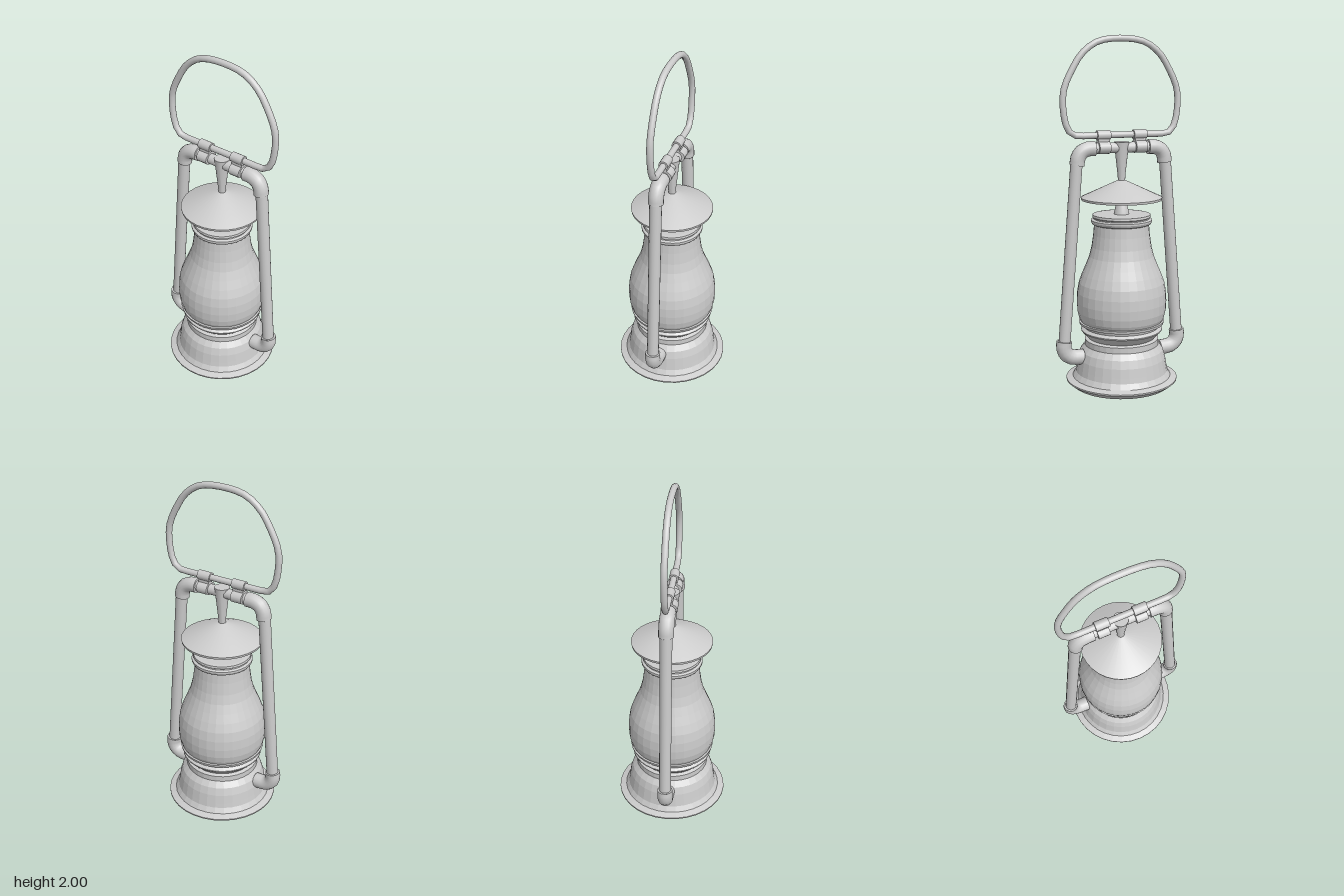
import * as THREE from 'three';
import { toCreasedNormals } from 'three/addons/utils/BufferGeometryUtils.js';

const SIDES = 32;
const smooth = new THREE.MeshStandardMaterial({ color: 0xcccccc, side: THREE.DoubleSide });
const faceted = new THREE.MeshStandardMaterial({ color: 0xcccccc, flatShading: true, side: THREE.DoubleSide });

export function createModel() {
  const model = new THREE.Group();
  model.name = 'lantern';

  const add = (name, geometry, material = smooth, parent = model) => {
    const mesh = new THREE.Mesh(geometry, material);
    mesh.name = name;
    parent.add(mesh);
    return mesh;
  };

  // Turned part from [radius, height] pairs, bottom to top
  const turned = (name, profile, material = faceted, sides = SIDES) =>
    add(name, new THREE.LatheGeometry(profile.map(([r, y]) => new THREE.Vector2(r, y)), sides), material);

  // Round bar along [x, y] points, with capped ends unless closed
  const bar = (name, points, radius, segments, closed = false, parent = model) => {
    const group = new THREE.Group();
    group.name = name;
    parent.add(group);
    const path = new THREE.CatmullRomCurve3(points.map(([x, y]) => new THREE.Vector3(x, y, 0)), closed);
    add(name + 'Tube', new THREE.TubeGeometry(path, segments, radius, 16, closed), smooth, group);
    if (!closed) {
      for (const t of [0, 1]) {
        const cap = add(name + 'End', new THREE.CircleGeometry(radius, 16), smooth, group);
        const outward = path.getTangentAt(t).multiplyScalar(t ? 1 : -1);
        cap.position.copy(path.getPointAt(t));
        cap.quaternion.setFromUnitVectors(new THREE.Vector3(0, 0, 1), outward);
      }
    }
    return group;
  };

  // Fuel tank with rolled foot
  turned('fuelTank', [
    [0, 0], [0.285, 0], [0.3, 0.012], [0.323, 0.03], [0.323, 0.038], [0.31, 0.042],
    [0.285, 0.05], [0.267, 0.08], [0.262, 0.11], [0.254, 0.16], [0.24, 0.205], [0.214, 0.238],
  ]);

  // Burner collar with pinched waist
  turned('burnerCollar', [
    [0.214, 0.238], [0.214, 0.272], [0.195, 0.28], [0.205, 0.29], [0.235, 0.322],
    [0.235, 0.328], [0.217, 0.342], [0.222, 0.36], [0.244, 0.362], [0.248, 0.378], [0.23, 0.382],
  ]);

  // Bulbous glass
  const glass = new THREE.SplineCurve([
    [0.235, 0.375], [0.253, 0.42], [0.259, 0.5], [0.25, 0.59], [0.222, 0.67],
    [0.188, 0.75], [0.167, 0.84], [0.156, 0.95],
  ].map(([r, y]) => new THREE.Vector2(r, y)));
  add('glass', new THREE.LatheGeometry(glass.getPoints(11), SIDES), faceted);

  // Chimney rim closing the glass
  turned('chimneyRim', [
    [0.152, 0.938], [0.168, 0.945], [0.175, 0.958], [0.175, 0.968], [0.16, 0.974],
    [0.16, 0.98], [0.167, 0.985], [0.165, 0.998], [0.145, 1.0], [0, 1.0],
  ]);

  // Stems below and above the shade
  turned('lowerStem', [[0.044, 1.0], [0.022, 1.1], [0, 1.1]], smooth, 20);
  turned('upperStem', [[0, 1.16], [0.02, 1.18], [0.022, 1.22], [0.043, 1.41], [0, 1.41]], smooth, 20)
    .geometry = toCreasedNormals(model.getObjectByName('upperStem').geometry, 0.6);

  // Hollow conical shade with thin rim
  const shade = turned('shade', [
    [0, 1.183], [0.215, 1.085], [0.23, 1.083], [0.232, 1.096], [0, 1.203],
  ], smooth);
  shade.geometry = toCreasedNormals(shade.geometry, 0.6);

  // Frame top bar
  bar('topBar', [[-0.2, 1.378], [0.2, 1.378]], 0.03, 1);

  for (const s of [1, -1]) {
    const side = new THREE.Group();
    side.name = s > 0 ? 'leftFrame' : 'rightFrame';
    model.add(side);
    const m = (points) => points.map(([x, y]) => [s * x, y]);

    // Side tube and the two elbows that sleeve it
    bar('sideTube', m([[0.266, 1.32], [0.35, 0.25]]), 0.034, 1, false, side);
    bar('upperElbow', m([[0.16, 1.377], [0.2, 1.376], [0.238, 1.36], [0.259, 1.327], [0.265, 1.287]]),
      0.042, 8, false, side);
    bar('lowerElbow', m([[0.349, 0.285], [0.353, 0.25], [0.34, 0.212], [0.307, 0.188], [0.24, 0.182]]),
      0.044, 8, false, side);

    // Clamp joining the handle to the top bar
    const clamp = bar('barClamp', m([[0.077, 1.381], [0.143, 1.381]]), 0.036, 1, false, side);
    clamp.scale.z = 1.28;
    bar('handleSleeve', m([[0.07, 1.45], [0.148, 1.45]]), 0.027, 1, false, side);
    const web = add('clampWeb', new THREE.BoxGeometry(0.066, 0.06, 0.035), smooth, side);
    web.position.set(s * 0.11, 1.42, 0);
  }

  // Carrying handle: one closed wire loop
  const half = [[0.13, 1.45], [0.25, 1.45], [0.29, 1.457], [0.32, 1.495], [0.337, 1.56], [0.343, 1.66],
    [0.332, 1.72], [0.29, 1.81], [0.23, 1.9], [0.14, 1.963]];
  const loop = [...half, [0, 1.982], ...half.map(([x, y]) => [-x, y]).reverse()];
  bar('handle', loop, 0.018, 44, true);

  return model;
}
